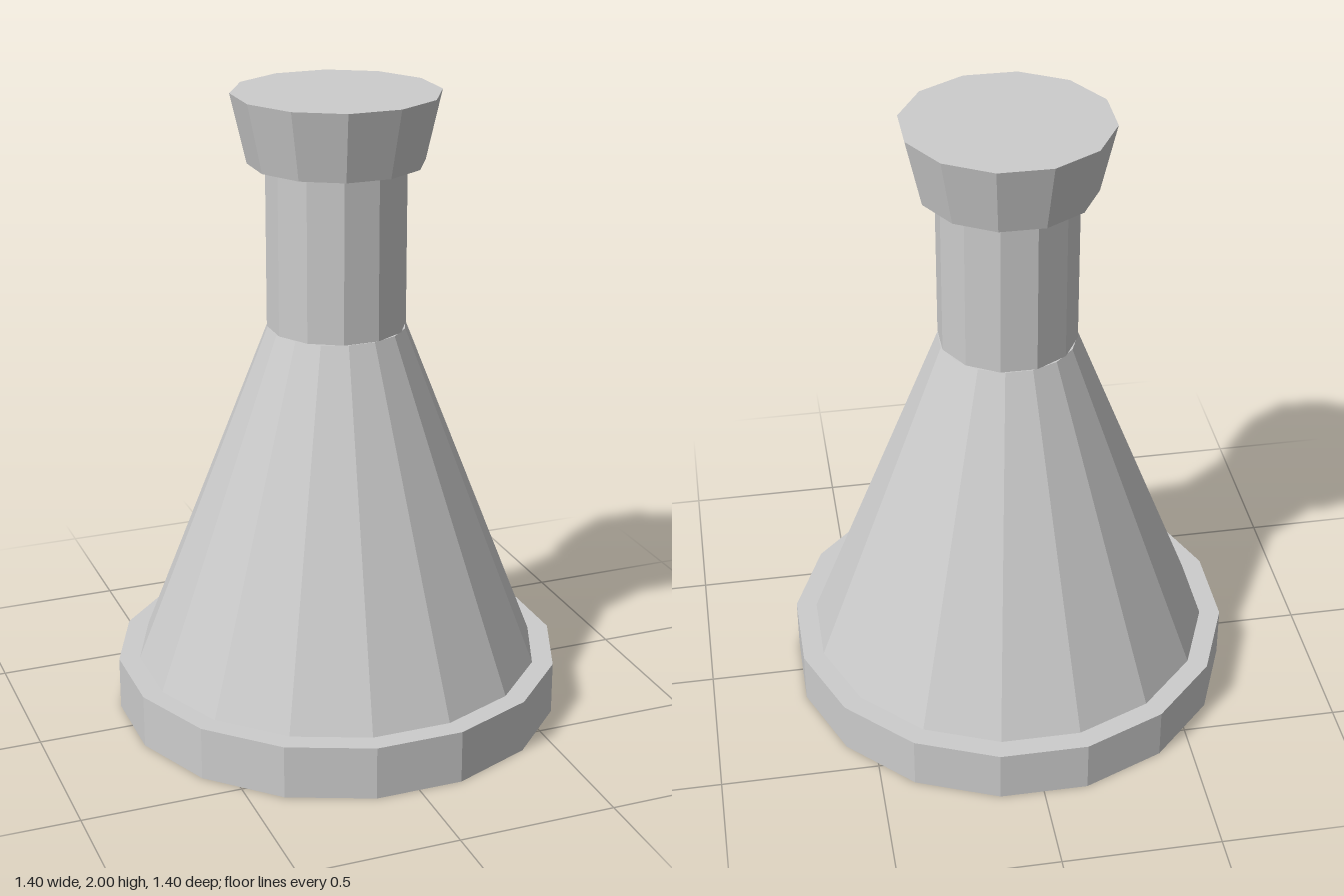
import * as THREE from 'three';

export function createModel() {
  const group = new THREE.Group();
  const grey = new THREE.MeshStandardMaterial({ color: 0xcccccc, flatShading: true });
  grey.name = 'grey';

  // A faceted drum between two heights, turned so a flat side faces the front
  function drum(name, bottomRadius, topRadius, y0, y1, sides) {
    const geometry = new THREE.CylinderGeometry(topRadius, bottomRadius, y1 - y0, sides);
    geometry.rotateY(Math.PI / sides);
    const mesh = new THREE.Mesh(geometry, grey);
    mesh.name = name;
    mesh.position.y = (y0 + y1) / 2;
    group.add(mesh);
  }

  drum('base', 0.712, 0.712, 0, 0.17, 16);
  drum('body', 0.645, 0.217, 0.17, 1.27, 16);
  drum('neck', 0.217, 0.217, 1.27, 1.785, 12);
  drum('cap', 0.272, 0.321, 1.785, 2, 12);

  return group;
}
